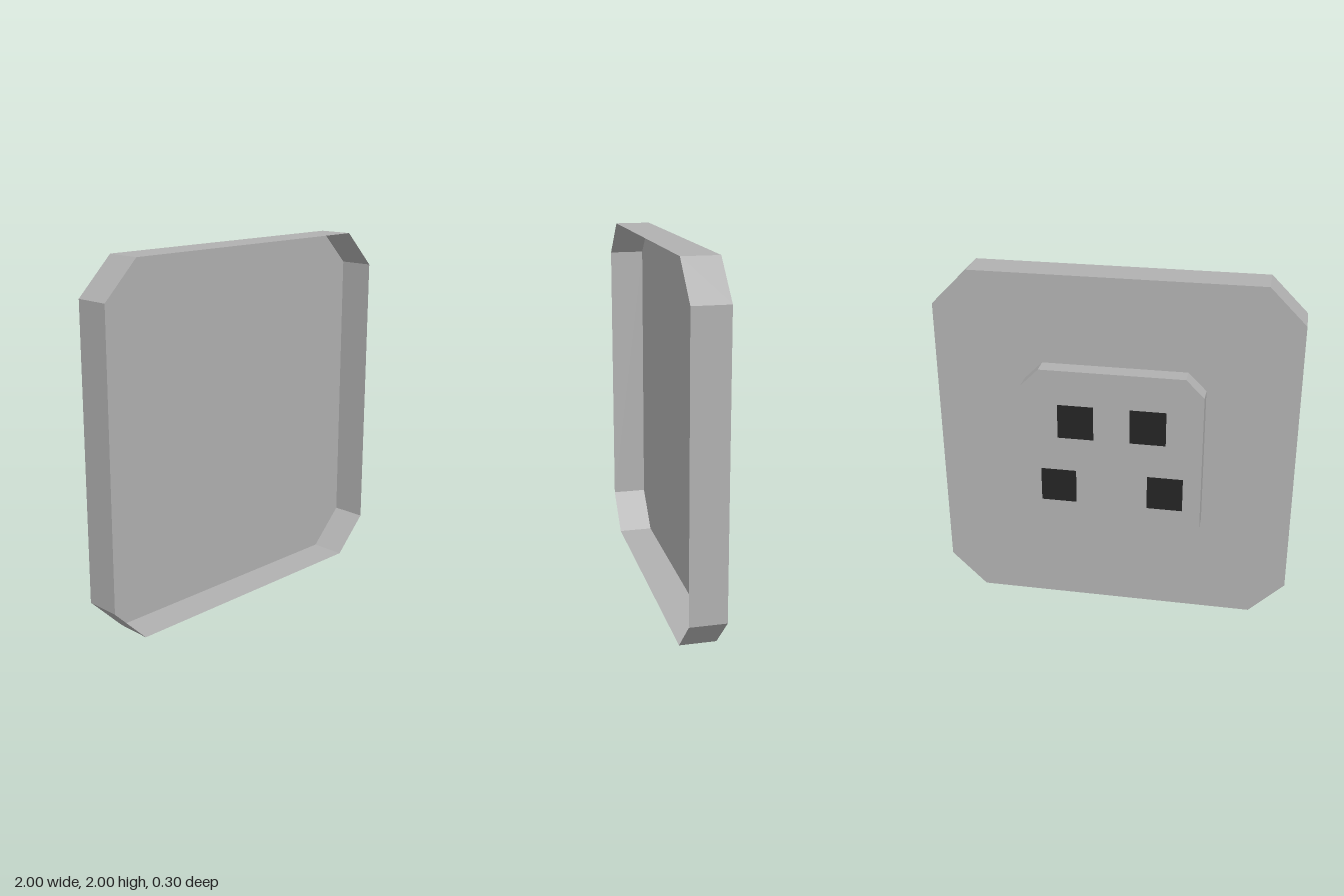
import * as THREE from 'three';

// Square outline with cut corners, counter-clockwise
function outline(half, cut) {
  const h = half, k = half - cut;
  return [[k, -h], [h, -k], [h, k], [k, h], [-k, h], [-h, k], [-h, -k], [-k, -h]]
    .map(([x, y]) => new THREE.Vector2(x, y));
}

// Ring of flat walls between two depths, facing outward
function wallGeometry(points, zBack, zFront) {
  const pos = [];
  points.forEach((a, i) => {
    const b = points[(i + 1) % points.length];
    pos.push(a.x, a.y, zBack, b.x, b.y, zBack, b.x, b.y, zFront);
    pos.push(a.x, a.y, zBack, b.x, b.y, zFront, a.x, a.y, zFront);
  });
  const geo = new THREE.BufferGeometry();
  geo.setAttribute('position', new THREE.Float32BufferAttribute(pos, 3));
  geo.computeVertexNormals();
  return geo;
}

export function createModel() {
  const grey = new THREE.MeshStandardMaterial({ color: 0xb0b0b0, side: THREE.DoubleSide });
  grey.name = 'grey';
  const black = new THREE.MeshStandardMaterial({ color: 0x242424 });
  black.name = 'black';

  const model = new THREE.Group();
  model.name = 'panel';

  // Thin-walled tray, open towards the front, closed at zBack
  function addTray(name, half, cut, zBack, zFront) {
    const tray = new THREE.Group();
    tray.name = name;
    const points = outline(half, cut);
    const walls = new THREE.Mesh(wallGeometry(points, zBack, zFront), grey);
    walls.name = name + 'Walls';
    const face = new THREE.Mesh(new THREE.ShapeGeometry(new THREE.Shape(points)), grey);
    face.name = name + 'Face';
    face.rotation.y = Math.PI; // face the back
    face.position.z = zBack;
    tray.add(walls, face);
    tray.position.y = 1;
    model.add(tray);
  }
  addTray('tray', 1, 0.2, -0.05, 0.15);
  addTray('backBlock', 0.5, 0.1, -0.15, -0.05);

  // Dark square patches on the back block
  const patch = new THREE.PlaneGeometry(0.2, 0.2);
  for (const [x, y] of [[0.2, 1.2], [-0.2, 1.2], [0.3, 0.8], [-0.3, 0.8]]) {
    const mesh = new THREE.Mesh(patch, black);
    mesh.name = 'patch';
    mesh.rotation.y = Math.PI;
    mesh.position.set(x, y, -0.152);
    model.add(mesh);
  }
  return model;
}
